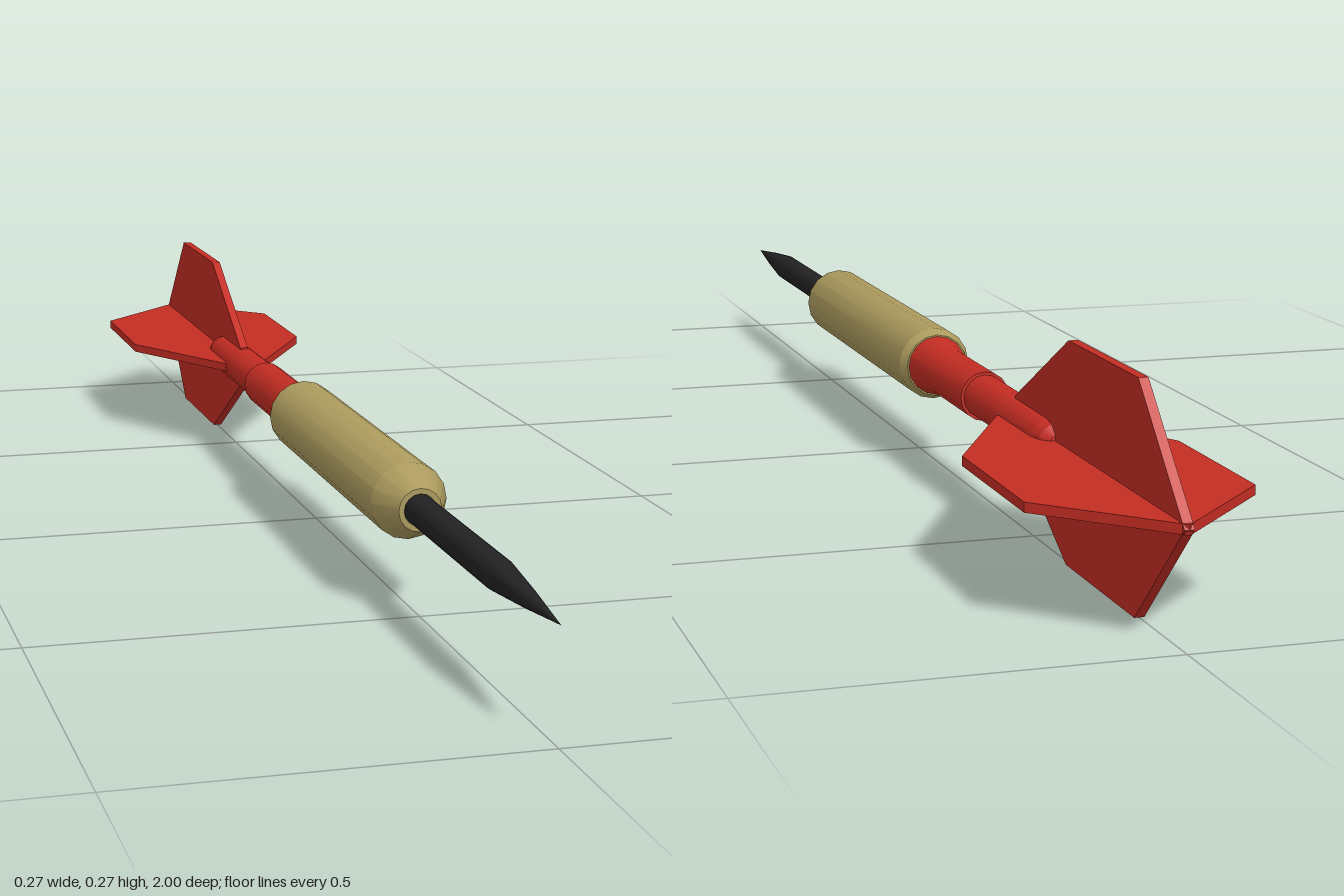
import * as THREE from 'three';
import { toCreasedNormals } from 'three/addons/utils/BufferGeometryUtils.js';

const AXIS_Y = 0.1375;
const FIN_THICKNESS = 0.012;

function material(name, color) {
  const m = new THREE.MeshStandardMaterial({ color });
  m.name = name;
  return m;
}

// Turned part along z; profile is [radius, z] from back to front
function turned(name, profile, mat) {
  const points = profile.map(([r, z]) => new THREE.Vector2(r, z));
  const geometry = new THREE.LatheGeometry(points, 16).rotateX(Math.PI / 2);
  const mesh = new THREE.Mesh(toCreasedNormals(geometry, 0.41), mat);
  mesh.name = name;
  return mesh;
}

export function createModel() {
  const steel = material('black steel', 0x222224);
  const brass = material('brass', 0xac9b5e);
  const red = material('red plastic', 0xc42d23);

  const dart = new THREE.Group();
  dart.name = 'dart';
  const body = new THREE.Group();
  body.name = 'dartBody';
  body.position.y = AXIS_Y;
  dart.add(body);

  // Needle point
  body.add(turned('point', [
    [0, 0.47], [0.02, 0.47], [0.02, 0.8], [0.011, 0.9], [0, 1],
  ], steel));

  // Weighted barrel with chamfered ends
  body.add(turned('barrel', [
    [0, -0.085], [0.043, -0.085], [0.05, -0.07], [0.05, 0.45],
    [0.028, 0.5], [0.021, 0.5], [0.019, 0.49], [0, 0.49],
  ], brass));

  // Shaft with flared collar and rounded tail
  body.add(turned('shaft', [
    [0, -0.595], [0.014, -0.593], [0.024, -0.58], [0.028, -0.56], [0.029, -0.3],
    [0.033, -0.3], [0.033, -0.14], [0.041, -0.085], [0.041, -0.07], [0, -0.07],
  ], red));

  // Four flight fins around the axis
  const outline = new THREE.Shape([
    [0, -1], [0.137, -0.86], [0.137, -0.635], [0.03, -0.44], [0, -0.44],
  ].map(([x, z]) => new THREE.Vector2(x, z)));
  const finGeometry = new THREE.ExtrudeGeometry(outline, { depth: FIN_THICKNESS, bevelEnabled: false })
    .translate(0, 0, -FIN_THICKNESS / 2)
    .rotateX(Math.PI / 2);
  for (let i = 0; i < 4; i++) {
    const fin = new THREE.Mesh(finGeometry, red);
    fin.name = `fin${i + 1}`;
    fin.rotation.z = i * Math.PI / 2;
    body.add(fin);
  }

  return dart;
}
